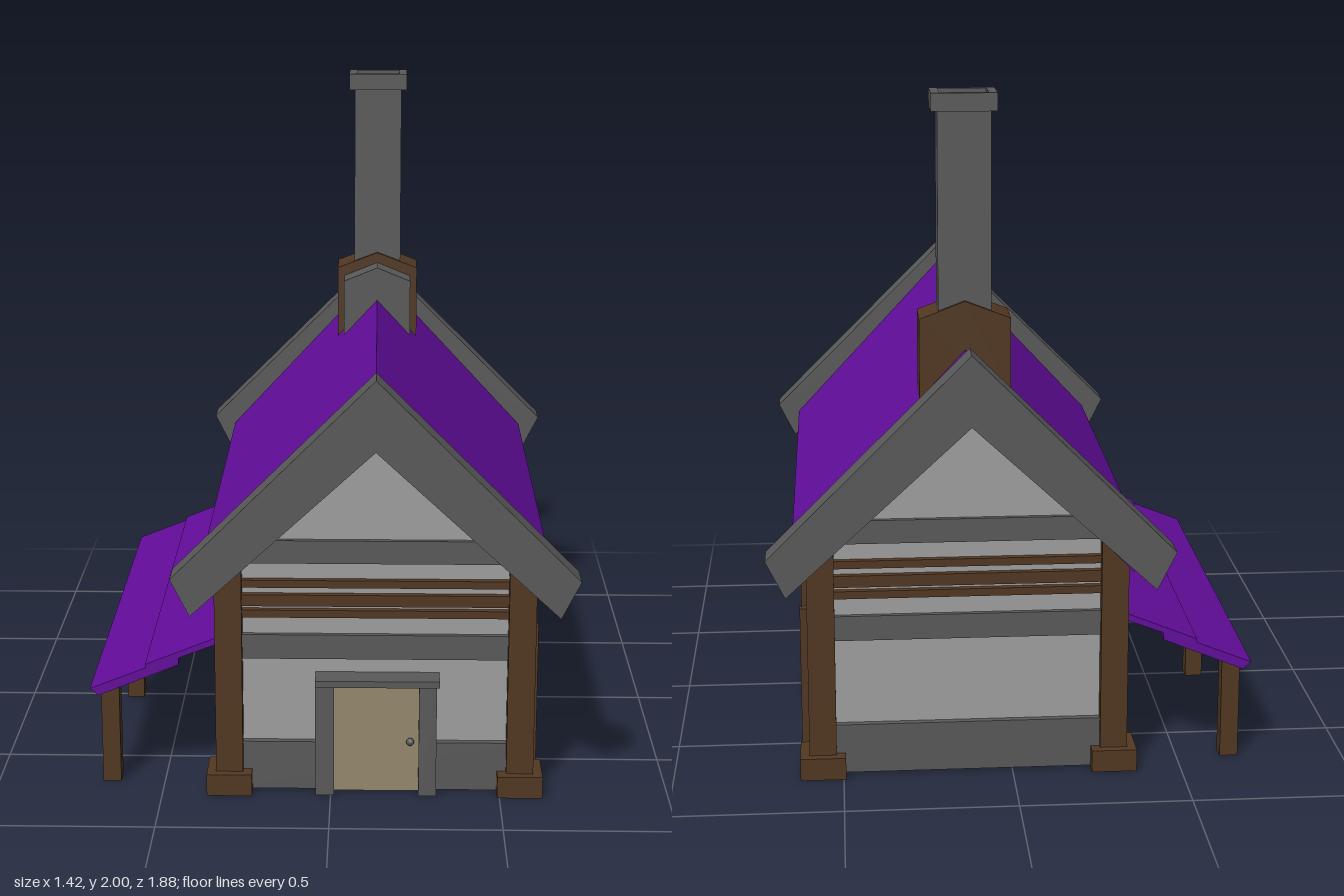
import * as THREE from 'three';

const CX = 0.13; // centre line of the house

const mat = (name, color) => {
  const m = new THREE.MeshStandardMaterial({ color });
  m.name = name;
  return m;
};

export function createModel() {
  const model = new THREE.Group();
  model.name = 'cottage';
  const stone = mat('dark stone', 0x5a5a5a);
  const plaster = mat('light plaster', 0xa0a0a0);
  const wood = mat('dark wood', 0x523822);
  const purple = mat('purple roof', 0x630d9c);
  const doorWood = mat('pale door wood', 0x968a6e);

  const add = (name, geo, material) => {
    const mesh = new THREE.Mesh(geo, material);
    mesh.name = name;
    model.add(mesh);
    return mesh;
  };
  // box given by its limits
  const box = (name, m, x0, x1, y0, y1, z0, z1) => {
    const b = add(name, new THREE.BoxGeometry(x1 - x0, y1 - y0, z1 - z0), m);
    b.position.set((x0 + x1) / 2, (y0 + y1) / 2, (z0 + z1) / 2);
    return b;
  };
  // outline in x and y, extruded from z0 to z1
  const prism = (name, m, pts, z0, z1, hole) => {
    const shape = new THREE.Shape(pts.map(p => new THREE.Vector2(...p)));
    if (hole) shape.holes.push(new THREE.Path(hole.map(p => new THREE.Vector2(...p))));
    const geo = new THREE.ExtrudeGeometry(shape, { depth: z1 - z0, bevelEnabled: false });
    geo.translate(0, 0, z0);
    return add(name, geo, m);
  };
  // roof-like outline, mirrored about the centre line
  const chevron = (ox, oy, top, ix, iy, under) => [
    [CX - ox, oy], [CX - ix, iy], [CX, under], [CX + ix, iy], [CX + ox, oy], [CX, top],
  ];
  const house = (w, y0, side, apex) => [
    [CX - w, y0], [CX + w, y0], [CX + w, side], [CX, apex], [CX - w, side],
  ];
  // band around the whole house
  const band = (name, m, y0, y1, out) =>
    box(name, m, CX - 0.43 - out, CX + 0.43 + out, y0, y1, -0.72 - out, 0.72 + out);

  // Walls, stone bands and wooden rails
  prism('walls', plaster, house(0.43, 0.02, 0.72, 1.17), -0.72, 0.72);
  band('stoneBase', stone, 0.01, 0.16, 0.02);
  band('stoneBand', stone, 0.42, 0.495, 0.015);
  band('lowerRail', wood, 0.55, 0.573, 0.02);
  band('middleRail', wood, 0.585, 0.62, 0.02);
  band('upperRail', wood, 0.642, 0.665, 0.02);
  for (const s of [-1, 1]) {
    box('gableBand', stone, CX - 0.42, CX + 0.42, 0.715, 0.785, s * 0.725 - 0.01, s * 0.725 + 0.01);
  }

  // Posts and their footings
  for (const s of [-1, 1]) {
    for (const z of [-0.715, 0, 0.72]) {
      const x = CX + s * 0.43;
      box('post', wood, x - 0.04, x + 0.04, 0.02, 0.74, z - 0.04, z + 0.04);
      box('postFooting', wood, x - 0.067, x + 0.067, 0.005, 0.072, z - 0.066, z + 0.066);
    }
  }

  // Main roof and stone gable trims
  prism('roof', purple, chevron(0.51, 0.71, 1.26, 0.47, 0.65, 1.14), -0.85, 0.85);
  for (const z of [-0.94, 0.845]) {
    prism('gableTrim', stone, chevron(0.58, 0.735, 1.315, 0.525, 0.625, 1.11), z, z + 0.095);
  }

  // Front door
  box('door', doorWood, 0.01, 0.26, 0.01, 0.355, 0.72, 0.75);
  box('doorJamb', stone, -0.045, 0.01, 0.01, 0.355, 0.7, 0.785);
  box('doorJamb', stone, 0.26, 0.312, 0.01, 0.355, 0.7, 0.785);
  box('doorLintel', stone, -0.045, 0.32, 0.355, 0.375, 0.7, 0.797);
  add('doorKnob', new THREE.SphereGeometry(0.012, 8, 6), stone).position.set(0.235, 0.17, 0.758);

  // Shuttered windows on the right wall
  for (const z of [-0.363, 0.363]) {
    for (const s of [-1, 1]) {
      const p = z + s * 0.142;
      box('windowPost', wood, 0.56, 0.625, 0.01, 0.445, p - 0.015, p + 0.015);
      const c = z + s * 0.061;
      box('shutter', wood, 0.55, 0.585, 0.178, 0.373, c - 0.057, c + 0.057);
    }
    box('windowLintel', stone, 0.55, 0.605, 0.377, 0.402, z - 0.13, z + 0.13);
    box('windowSill', stone, 0.55, 0.605, 0.15, 0.175, z - 0.13, z + 0.13);
  }

  // Awning on the other side, in two overlapping boards
  prism('awningUpper', purple,
    [[-0.55, 0.375], [-0.29, 0.475], [-0.29, 0.497], [-0.55, 0.392]], -0.718, 0.718);
  prism('awningLower', purple,
    [[-0.69, 0.293], [-0.45, 0.392], [-0.45, 0.42], [-0.715, 0.315]], -0.718, 0.718);
  for (const z of [-0.66, 0, 0.66]) {
    box('awningPost', wood, -0.686, -0.632, 0.005, 0.32, z - 0.027, z + 0.027);
  }

  // Chimney with its saddle and hollow cap
  prism('chimneySaddle', wood, house(0.133, 1.118, 1.352, 1.403), -0.627, -0.48);
  prism('chimneyBreast', stone, house(0.11, 1.14, 1.325, 1.37), -0.48, -0.385);
  const rect = (w, d) => [[-w, -d], [w, -d], [w, d], [-w, d]];
  const stack = (name, w, d, y0, y1, z) => {
    const m = prism(name, stone, rect(w, d), 0, y1 - y0, rect(0.07, 0.055));
    m.rotation.x = -Math.PI / 2;
    m.position.set(CX, y0, z);
  };
  box('chimneyShaft', stone, 0.053, 0.207, 1.2, 1.95, -0.615, -0.493);
  stack('chimneyCap', 0.095, 0.075, 1.948, 2, -0.555);

  return model;
}
